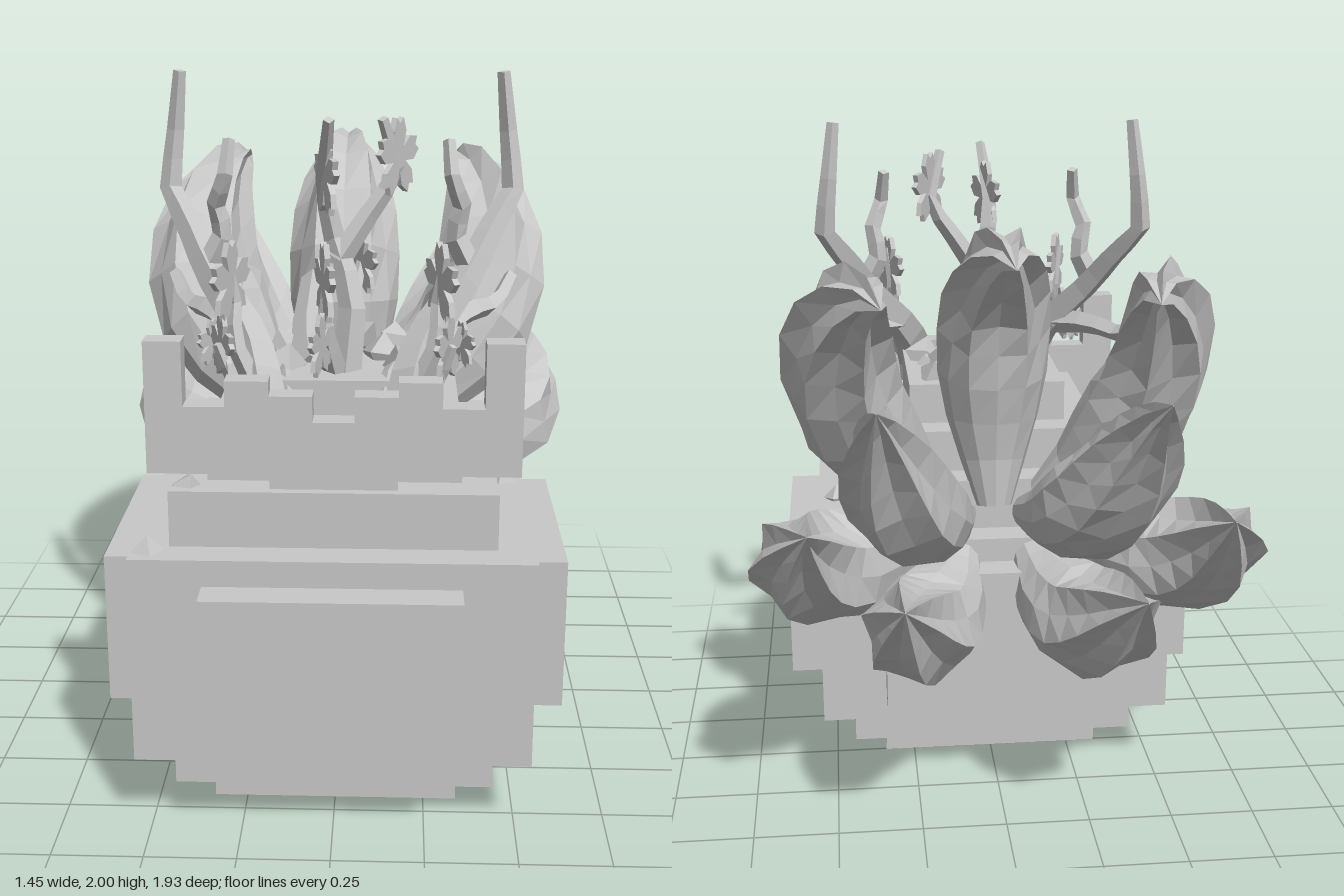
import * as THREE from 'three';

const stone = new THREE.MeshStandardMaterial({ color: 0xc8c8c8 });
stone.name = 'stone grey';

function add(group, name, geometry, pos = [0, 0, 0]) {
  const mesh = new THREE.Mesh(geometry, stone);
  mesh.name = name;
  mesh.position.set(...pos);
  group.add(mesh);
  return mesh;
}

function box(group, name, x0, x1, y0, y1, z0, z1) {
  add(group, name, new THREE.BoxGeometry(x1 - x0, y1 - y0, z1 - z0),
    [(x0 + x1) / 2, (y0 + y1) / 2, (z0 + z1) / 2]);
}

// Closed faceted sweep; radius(u, i) shapes each ring, squash thins it along one direction
function loft(points, side, steps, sides, tension, radius, squash = [0, 0, 0]) {
  const path = points.map(([x, y, z]) => new THREE.Vector3(x * side, y, z));
  const curve = new THREE.CatmullRomCurve3(path, false, 'catmullrom', tension);
  const { normals, binormals } = curve.computeFrenetFrames(steps, false);
  const thin = new THREE.Vector3(squash[0] * side, squash[1], squash[2]);
  const pos = [], idx = [];
  for (let k = 0; k <= steps; k++) {
    const c = curve.getPointAt(k / steps);
    for (let i = 0; i < sides; i++) {
      const a = (i / sides) * Math.PI * 2, r = radius(k / steps, i);
      const p = normals[k].clone().multiplyScalar(r * Math.cos(a))
        .addScaledVector(binormals[k], r * Math.sin(a));
      p.addScaledVector(thin, -p.dot(thin)).add(c);
      pos.push(p.x, p.y, p.z);
      if (k < steps) {
        const j = (i + 1) % sides, A = k * sides + i, B = k * sides + j;
        idx.push(A, B, B + sides, A, B + sides, A + sides);
      }
    }
  }
  const last = steps * sides;
  for (let i = 1; i < sides - 1; i++) idx.push(0, i + 1, i, last, last + i, last + i + 1);
  const g = new THREE.BufferGeometry();
  g.setAttribute('position', new THREE.Float32BufferAttribute(pos, 3));
  g.setIndex(idx);
  const flat = g.toNonIndexed();
  flat.computeVertexNormals();
  return flat;
}

// Bushy tail: swells in the middle, with fur ridges deepening toward the tip
const swell = [0.32, 0.6, 0.85, 1, 1, 0.92, 0.76, 0.52, 0.26, 0.01];
function tail(group, name, points, side, size, squash) {
  add(group, name, loft(points, side, 9, 12, 0.5, (u, i) => {
    const ridge = Math.max(0, (u - 0.3) / 0.7) * 0.5;
    return size * swell[Math.round(u * 9)] * (i % 2 ? 1 - ridge : 1 + ridge * 0.25);
  }, squash));
}

// Angular tapering twig
function branch(group, name, points, side, r0, r1) {
  add(group, name, loft(points, side, (points.length - 1) * 2, 4, 0.15, u => r0 + (r1 - r0) * u));
}

// Five notched petals, facing sideways
const petals = [];
for (let i = 0; i < 5; i++) {
  for (const [r, a] of [[0.035, -0.63], [0.08, -0.45], [0.11, -0.17], [0.093, 0], [0.11, 0.17], [0.08, 0.45]]) {
    const t = a + i * Math.PI * 0.4 + 0.3;
    petals.push(new THREE.Vector2(r * Math.cos(t), r * Math.sin(t)));
  }
}
const flowerGeo = new THREE.ExtrudeGeometry(new THREE.Shape(petals), { depth: 0.016, bevelEnabled: false });
flowerGeo.translate(0, 0, -0.008);
function flower(group, pos, turn, scale = 1) {
  const f = add(group, 'flower', flowerGeo, pos);
  f.rotation.set(0, Math.PI / 2 + turn, 0);
  f.scale.setScalar(scale);
}

export function createModel() {
  const model = new THREE.Group();
  model.name = 'tailedBlockCreature';

  // Stepped body: half width, bottom, top, back, front
  const body = new THREE.Group();
  body.name = 'body';
  model.add(body);
  [[0.342, 0, 0.095, -0.005, 0.68], [0.44, 0.095, 0.217, -0.105, 0.775], [0.537, 0.217, 0.8, -0.202, 0.872],
    [0.437, 0.8, 0.955, -0.105, 0.775], [0.342, 0.955, 1.083, -0.005, 0.68], [0.243, 1.083, 1.207, 0.092, 0.578]]
    .forEach(([w, y0, y1, z0, z1]) => box(body, 'bodyStep', -w, w, y0, y1, z0, z1));
  box(body, 'frontPanel', -0.342, 0.342, 0.297, 0.727, 0.872, 0.967);
  box(body, 'backPanel', -0.342, 0.342, 0.297, 0.727, -0.3, -0.202);
  for (const s of [-1, 1]) {
    const x = [0.537 * s, 0.635 * s].sort((a, b) => a - b);
    box(body, 'sidePanel', x[0], x[1], 0.297, 0.727, -0.005, 0.675);
  }

  // Notched crown plate, one outline mirrored about the middle
  const half = [[0.055, 1.14], [0.055, 1.21], [0.17, 1.21], [0.17, 1.25], [0.285, 1.25], [0.285, 1.18],
    [0.395, 1.18], [0.395, 1.355], [0.495, 1.355], [0.495, 0.995], [0.17, 0.995], [0.17, 0.955]];
  const outline = [...half, ...half.map(([x, y]) => [-x, y]).reverse()].map(p => new THREE.Vector2(...p));
  add(model, 'crownPlate', new THREE.ExtrudeGeometry(new THREE.Shape(outline),
    { depth: 0.07, bevelEnabled: false }), [0, 0, 0.677]);

  // Nine tails
  const tails = new THREE.Group();
  tails.name = 'tails';
  model.add(tails);
  tail(tails, 'centreTail', [[0, 0.88, -0.12], [0, 1.12, -0.06], [0, 1.36, -0.08], [0, 1.55, -0.17],
    [0, 1.665, -0.34], [0, 1.72, -0.5], [0, 1.71, -0.68]], 1, 0.165);
  for (const s of [-1, 1]) {
    tail(tails, 'upperTail', [[0.15, 0.9, -0.1], [0.3, 1.03, -0.14], [0.43, 1.23, -0.22],
      [0.46, 1.42, -0.32], [0.43, 1.57, -0.47], [0.38, 1.64, -0.64], [0.35, 1.64, -0.8]], s, 0.195,
      [0.37, 0, -0.37]);
    tail(tails, 'middleTail', [[0.1, 0.85, -0.1], [0.2, 0.9, -0.28], [0.29, 1.02, -0.46],
      [0.34, 1.18, -0.61], [0.36, 1.32, -0.76], [0.37, 1.4, -0.885]], s, 0.16);
    tail(tails, 'lowerTail', [[0.2, 0.85, -0.15], [0.38, 0.79, -0.26], [0.53, 0.81, -0.4],
      [0.585, 0.89, -0.55], [0.58, 0.99, -0.71], [0.55, 1.08, -0.875]], s, 0.165);
    tail(tails, 'lowestTail', [[0.1, 0.76, -0.12], [0.17, 0.66, -0.29], [0.24, 0.635, -0.46],
      [0.28, 0.7, -0.62], [0.3, 0.81, -0.8], [0.31, 0.9, -0.96]], s, 0.16);
  }

  // Antler-like branches at the sides
  const plants = new THREE.Group();
  plants.name = 'branches';
  model.add(plants);
  for (const s of [-1, 1]) {
    branch(plants, 'antler', [[0.18, 1.07, 0.63], [0.2, 1.2, 0.6], [0.24, 1.31, 0.49], [0.36, 1.46, 0.37],
      [0.43, 1.58, 0.27], [0.49, 1.67, 0.19], [0.475, 1.82, 0.175], [0.455, 2, 0.19]], s, 0.065, 0.018);
    branch(plants, 'antlerFork', [[0.37, 1.47, 0.36], [0.32, 1.57, 0.36], [0.34, 1.65, 0.37],
      [0.31, 1.73, 0.41], [0.3, 1.83, 0.37]], s, 0.035, 0.017);
    branch(plants, 'antlerBackFork', [[0.25, 1.31, 0.5], [0.36, 1.34, 0.32], [0.45, 1.33, 0.17],
      [0.5, 1.4, 0.08]], s, 0.042, 0.02);
    branch(plants, 'twig', [[0.21, 1.18, 0.6], [0.27, 1.32, 0.61], [0.27, 1.42, 0.57],
      [0.29, 1.55, 0.59]], s, 0.03, 0.012);
    branch(plants, 'twig', [[0.18, 1.12, 0.6], [0.27, 1.22, 0.65], [0.31, 1.33, 0.67]], s, 0.03, 0.012);
    branch(plants, 'root', [[0.12, 1.1, 0.64], [0.14, 1.18, 0.5], [0.18, 1.21, 0.34]], s, 0.06, 0.03);
    flower(plants, [0.28 * s, 1.48, 0.59], 0.35 * s);
    flower(plants, [0.3 * s, 1.31, 0.62], -0.4 * s, 0.85);
    flower(plants, [0.34 * s, 1.3, 0.53], 0.5 * s, 0.6);
  }

  // Blossoming centre branch
  branch(plants, 'centreBranch', [[0.02, 1.18, 0.46], [0.04, 1.4, 0.43], [-0.02, 1.58, 0.36],
    [-0.04, 1.72, 0.41], [-0.02, 1.9, 0.53]], 1, 0.045, 0.015);
  branch(plants, 'centreFork', [[0, 1.5, 0.39], [0.08, 1.62, 0.36], [0.16, 1.74, 0.34],
    [0.12, 1.89, 0.4]], 1, 0.034, 0.015);
  branch(plants, 'backFork', [[0.02, 1.22, 0.44], [0.03, 1.34, 0.28], [0.06, 1.46, 0.15]], 1, 0.034, 0.014);
  branch(plants, 'backLimb', [[-0.08, 1.19, 0.38], [-0.1, 1.26, 0.26], [-0.09, 1.38, 0.05]], 1, 0.05, 0.035);
  branch(plants, 'frontTwig', [[0, 1.2, 0.48], [-0.03, 1.35, 0.55], [-0.02, 1.52, 0.53]], 1, 0.03, 0.012);
  flower(plants, [-0.03, 1.74, 0.45], 0.3);
  flower(plants, [0.16, 1.78, 0.35], -0.5);
  flower(plants, [0.06, 1.45, 0.17], 0.5, 0.85);
  flower(plants, [-0.03, 1.47, 0.55], 0.25);
  flower(plants, [-0.04, 1.31, 0.6], -0.3, 0.8);

  // Loose stones on the ledges and shards on the top step
  const rock = new THREE.OctahedronGeometry(0.045);
  [[-0.49, 0.8, 0.81], [0.48, 0.8, 0.22], [-0.48, 0.8, 0.1], [-0.39, 0.95, 0.72], [0.29, 1.08, 0.49],
    [-0.16, 1.22, 0.28], [0.16, 1.22, 0.18], [0.04, 1.22, 0.4], [-0.08, 1.23, 0.14], [0.12, 1.22, 0.33],
    [0.06, 1.25, 0.24], [0.18, 1.22, 0.42], [-0.15, 1.22, 0.44]]
    .forEach((p, i) => {
      const r = add(model, 'looseStone', rock, p);
      r.rotation.set(0.15 * i, 0.3 + i, 0.1 * i);
      if (i > 4) r.scale.set(1.1, 1.6, 1.4);
    });
  return model;
}
